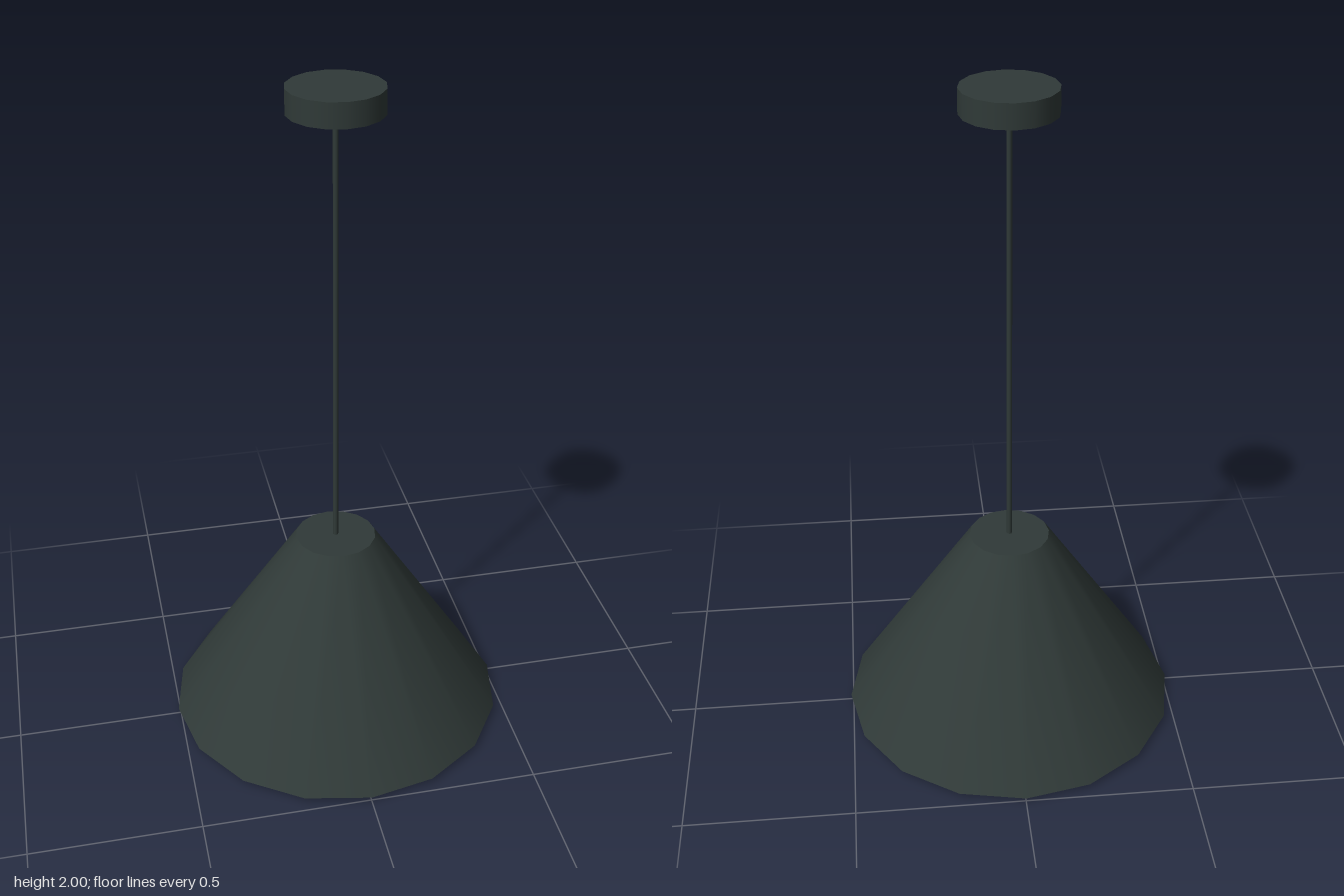
import * as THREE from 'three';

export function createModel() {
  const lamp = new THREE.Group();
  lamp.name = 'pendantLamp';
  const dark = new THREE.MeshStandardMaterial({ color: 0x303a38 });
  const cream = new THREE.MeshStandardMaterial({ color: 0xe8dccf });

  // Closed round part spanning y0..y1
  function round(name, rTop, rBottom, y0, y1, sides, material) {
    const geometry = new THREE.CylinderGeometry(rTop, rBottom, y1 - y0, sides);
    const mesh = new THREE.Mesh(geometry, material);
    mesh.name = name;
    mesh.position.y = (y0 + y1) / 2;
    lamp.add(mesh);
  }

  round('ceilingCanopy', 0.134, 0.134, 1.93, 2, 16, dark);
  round('cord', 0.008, 0.008, 0.61, 1.935, 8, dark);
  round('shade', 0.12, 0.507, 0.016, 0.614, 16, dark);
  // Light panel sits just below the rim of the shade
  round('diffuser', 0.46, 0.46, 0, 0.03, 16, cream);

  return lamp;
}
